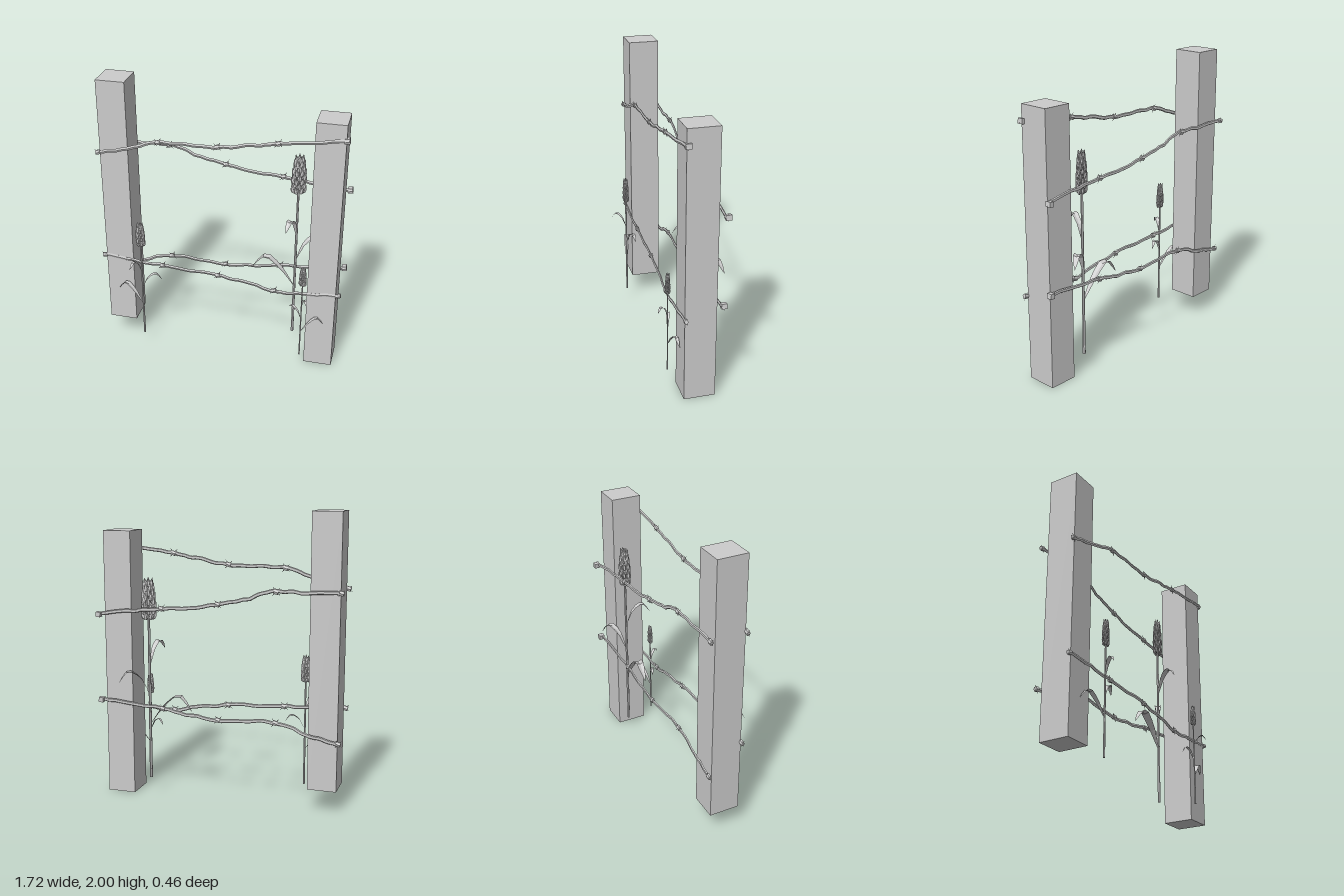
import * as THREE from 'three';

const mat = new THREE.MeshStandardMaterial({ color: 0xcccccc, flatShading: true });
const leafMat = new THREE.MeshStandardMaterial({ color: 0xcccccc, flatShading: true, side: THREE.DoubleSide });

let seed = 7;
const rand = () => ((seed = (seed * 16807) % 2147483647) / 2147483647) * 2 - 1;

function add(parent, name, geometry, x = 0, y = 0, z = 0, material = mat) {
  const mesh = new THREE.Mesh(geometry, material);
  mesh.name = name;
  mesh.position.set(x, y, z);
  parent.add(mesh);
  return mesh;
}

// Four spikes crossing around a short wrapped knot
function makeBarb(x, y, z, size) {
  const barb = new THREE.Group();
  barb.name = 'barb';
  barb.position.set(x, y, z);
  const knot = add(barb, 'barbKnot', new THREE.CylinderGeometry(0.017, 0.017, 0.03, 6));
  knot.rotation.z = Math.PI / 2 + 0.3;
  knot.scale.z = 0.8;
  const spike = new THREE.ConeGeometry(0.006, size, 4).translate(0, size / 2, 0);
  [-0.5, 0.75, 2.3, 3.9].forEach((angle, i) => {
    const s = add(barb, 'barbSpike', spike);
    s.rotation.set(i % 2 ? 0.25 : -0.25, 0, angle);
  });
  return barb;
}

// Flattened, slightly crooked wire with barbs along it
function makeWire({ name, z, pts, endZ, nub }) {
  const wire = new THREE.Group();
  wire.name = name;
  const last = pts.length - 1;
  const base = new THREE.CatmullRomCurve3(pts.map(([x, y], i) =>
    new THREE.Vector3(x, y, i === 0 || i === last ? (endZ - z) * 0.4 : 0)));
  const bent = base.getPoints(34).map((p, i) =>
    new THREE.Vector3(p.x, p.y + 0.006 * rand(), p.z * 2 + 0.003 * rand()));
  const path = new THREE.CatmullRomCurve3(bent);
  const tube = new THREE.TubeGeometry(path, 68, 0.0135, 5).scale(1, 1, 0.5);
  add(wire, 'strand', tube, 0, 0, z);

  const heightAt = x => {
    const i = Math.max(1, pts.findIndex(p => p[0] >= x));
    const [a, b] = [pts[i - 1], pts[i]];
    return a[1] + (b[1] - a[1]) * (x - a[0]) / (b[0] - a[0]);
  };
  for (const x of [-0.41, -0.01, 0.39]) wire.add(makeBarb(x, heightAt(x), z, 0.04));

  // Fastened ends
  const [l, r] = [pts[0], pts[last]];
  wire.add(makeBarb(l[0] + 0.012, l[1], (z + endZ) / 2, 0.032));
  if (nub) {
    const block = add(wire, 'endBlock', new THREE.BoxGeometry(0.032, 0.034, 0.038), r[0], r[1], endZ);
    block.rotation.z = 0.12;
  }
  wire.add(makeBarb(r[0], r[1], (z + endZ) / 2, 0.03));
  return wire;
}

// Arching blade: V-shaped cross-sections swept along a curve
function makeLeaf(points, width) {
  const curve = new THREE.CatmullRomCurve3(points.map(p => new THREE.Vector3(...p)));
  const pos = [], index = [], n = 7;
  const side = new THREE.Vector3(), up = new THREE.Vector3(0, 1, 0);
  const dir = points[points.length - 1];
  side.set(dir[0], 0, dir[2]).normalize().cross(up);
  for (let i = 0; i <= n; i++) {
    const t = i / n, p = curve.getPoint(t);
    const w = width * (0.12 + 0.88 * Math.pow(Math.sin(Math.PI * Math.pow(t, 1.2)), 0.8)) * (i === n ? 0 : 0.5);
    for (const k of [-1, 0, 1]) {
      pos.push(p.x + side.x * w * k, p.y + (k ? w * 0.35 : 0), p.z + side.z * w * k);
    }
    if (i < n) for (const k of [0, 1]) {
      const a = i * 3 + k;
      index.push(a, a + 1, a + 3, a + 1, a + 4, a + 3);
    }
  }
  const g = new THREE.BufferGeometry();
  g.setAttribute('position', new THREE.Float32BufferAttribute(pos, 3));
  g.setIndex(index);
  g.computeVertexNormals();
  return g;
}

// Unit-height grain plant, scaled and turned per placement
function makePlant(name, x, y, z, height, turn, mirror) {
  const plant = new THREE.Group();
  plant.name = name;
  plant.position.set(x, y, z);
  plant.rotation.y = turn;
  plant.scale.setScalar(height);

  add(plant, 'stalk', new THREE.CylinderGeometry(0.006, 0.0075, 0.82, 6), 0, 0.41, 0);

  const leaves = [
    [[0, 0.27, 0], [-0.07, 0.365, 0], [-0.15, 0.425, 0], [-0.22, 0.35, 0]],
    [[0, 0.42, 0], [0.04, 0.51, -0.025], [0.09, 0.54, -0.055], [0.13, 0.486, -0.08]],
    [[0, 0.56, 0], [-0.01, 0.65, 0.035], [-0.022, 0.68, 0.08], [-0.035, 0.635, 0.12]],
  ];
  leaves.forEach((pts, i) => add(plant, 'leaf',
    makeLeaf(pts.map(p => [p[0] * mirror, p[1], p[2]]), [0.042, 0.034, 0.032][i]), 0, 0, 0, leafMat));

  // Ear of overlapping pointed kernels
  const ear = new THREE.Group();
  ear.name = 'ear';
  ear.rotation.y = 0.3 * mirror;
  ear.scale.z = 0.62;
  plant.add(ear);
  const profile = [[0, 0], [0.01, 0.012], [0.0105, 0.024], [0, 0.05]].map(p => new THREE.Vector2(...p));
  const kernel = new THREE.LatheGeometry(profile, 5);
  add(ear, 'earCore', new THREE.CylinderGeometry(0.008, 0.018, 0.14, 6), 0, 0.87, 0);
  const layers = 8;
  for (let i = 0; i < layers; i++) {
    const t = i / (layers - 1);
    const r = 0.013 + 0.01 * Math.sin(Math.PI * (0.2 + 0.65 * t)) - 0.007 * t;
    for (let k = 0; k < 6; k++) {
      const a = (k + (i % 2) / 2) * Math.PI / 3;
      const m = add(ear, 'kernel', kernel, r * Math.cos(a), 0.793 + 0.155 * t, r * Math.sin(a));
      m.rotation.set(0, -a, -0.38 + 0.15 * t, 'YXZ');
    }
  }
  add(ear, 'tipKernel', kernel, 0, 0.952, 0);
  return plant;
}

export function createModel() {
  const model = new THREE.Group();
  model.name = 'wireFence';

  // Square posts
  add(model, 'rightPost', new THREE.BoxGeometry(0.197, 1.84, 0.208), -0.728, 1.08, -0.039);
  add(model, 'leftPost', new THREE.BoxGeometry(0.197, 1.85, 0.21), 0.717, 0.925, -0.038);

  // Barbed wires, two on each face
  const wires = [
    { name: 'frontUpperWire', z: 0.08, endZ: 0.058, nub: true,
      pts: [[-0.85, 1.49], [-0.63, 1.54], [-0.42, 1.61], [-0.05, 1.615], [0.2, 1.655], [0.4, 1.69], [0.62, 1.72], [0.82, 1.745]] },
    { name: 'frontLowerWire', z: 0.074, endZ: 0.058, nub: false,
      pts: [[-0.85, 0.685], [-0.63, 0.675], [-0.4, 0.66], [0, 0.638], [0.2, 0.61], [0.4, 0.572], [0.6, 0.583], [0.835, 0.595]] },
    { name: 'backUpperWire', z: -0.17, endZ: -0.19, nub: true,
      pts: [[-0.85, 1.49], [-0.63, 1.48], [-0.37, 1.482], [-0.2, 1.42], [0, 1.38], [0.2, 1.345], [0.4, 1.335], [0.62, 1.31], [0.84, 1.28]] },
    { name: 'backLowerWire', z: -0.16, endZ: -0.178, nub: true,
      pts: [[-0.85, 0.5], [-0.63, 0.54], [-0.42, 0.605], [0, 0.59], [0.2, 0.61], [0.4, 0.64], [0.62, 0.655], [0.84, 0.675]] },
  ];
  for (const w of wires) model.add(makeWire(w));

  // Grain plants
  model.add(makePlant('tallPlant', 0.5, 0.12, -0.118, 1.42, 0, 1));
  model.add(makePlant('frontRightPlant', -0.548, 0.1, 0.128, 0.92, -0.23, 1));
  model.add(makePlant('frontLeftPlant', 0.592, 0.095, 0.117, 0.725, 0.25, -1));
  return model;
}
